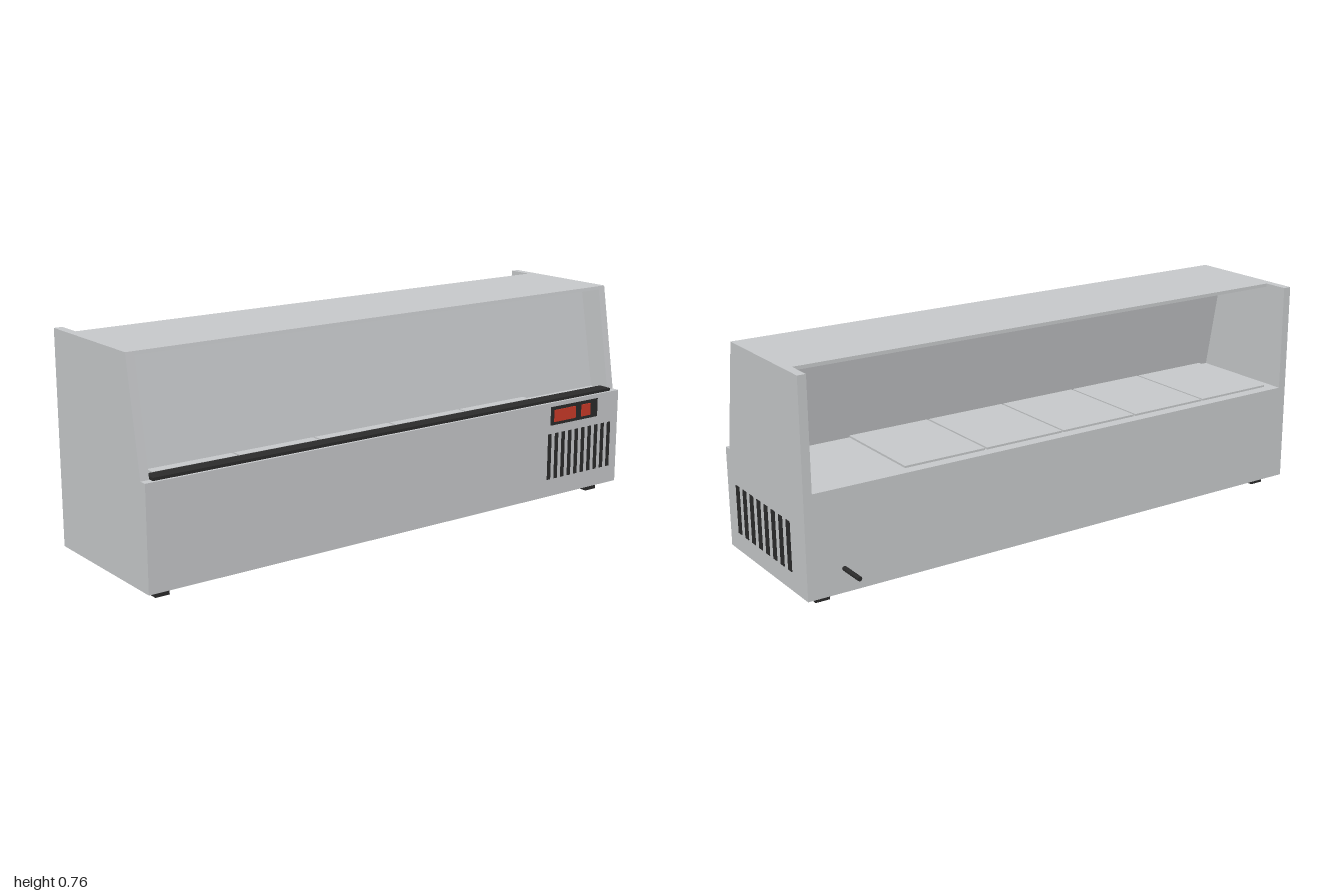
import * as THREE from 'three';

const metal = new THREE.MeshStandardMaterial({ color: 0xc6c8ca });
metal.name = 'brushed metal';
const black = new THREE.MeshStandardMaterial({ color: 0x2b2b2b });
black.name = 'black plastic';
const red = new THREE.MeshStandardMaterial({ color: 0xcc3a28 });
red.name = 'red display';

export function createModel() {
  const model = new THREE.Group();
  model.name = 'refrigeratedCounterDisplay';

  const add = (name, geometry, material) => {
    const mesh = new THREE.Mesh(geometry, material);
    mesh.name = name;
    model.add(mesh);
    return mesh;
  };

  // Box given by its limits on each axis
  const box = (name, material, [x0, x1], [y0, y1], [z0, z1]) =>
    add(name, new THREE.BoxGeometry(x1 - x0, y1 - y0, z1 - z0), material)
      .position.set((x0 + x1) / 2, (y0 + y1) / 2, (z0 + z1) / 2);

  // Cross-section in x and y, run lengthwise along z
  const prism = (name, material, points, z0, z1) => {
    const shape = new THREE.Shape(points.map(([x, y]) => new THREE.Vector2(x, y)));
    const geometry = new THREE.ExtrudeGeometry(shape, { depth: z1 - z0, bevelEnabled: false });
    add(name, geometry, material).position.z = z0;
  };

  // End panels with a sloped front edge
  const endProfile = [
    [-0.235, 0.035], [0.325, 0.035], [0.325, 0.385],
    [0.297, 0.385], [0.232, 0.765], [-0.235, 0.765],
  ];
  prism('endPanelLeft', metal, endProfile, 0.97, 1);
  prism('endPanelRight', metal, endProfile, -1, -0.97);

  // Base cabinet, roof and inclined inner screen
  box('baseCabinet', metal, [-0.235, 0.325], [0.035, 0.385], [-0.97, 0.97]);
  prism('roof', metal,
    [[-0.143, 0.753], [0.234, 0.753], [0.232, 0.765], [-0.143, 0.765]], -0.97, 0.97);
  prism('innerScreen', metal,
    [[0.175, 0.385], [0.215, 0.385], [0.146, 0.753], [0.106, 0.753]], -0.97, 0.97);

  // Black rail along the foot of the window
  box('windowRail', black, [0.262, 0.315], [0.385, 0.395], [-0.967, 0.967]);

  // Five shelf trays
  for (let i = 0; i < 5; i++) {
    const z = -0.62 + i * 0.312;
    box('tray', metal, [-0.195, 0.25], [0.385, 0.392], [z, z + 0.304]);
  }

  // Ventilation slots on the long side and on the end
  for (let i = 0; i < 10; i++) {
    const z = -0.653 - i * 0.0335;
    box('sideVentSlot', black, [0.322, 0.327], [0.1, 0.27], [z - 0.008, z + 0.008]);
  }
  for (let i = 0; i < 8; i++) {
    const x = 0.247 - i * 0.0525;
    box('endVentSlot', black, [x - 0.013, x + 0.013], [0.1, 0.27], [-1.002, -0.998]);
  }

  // Control panel with display and switch
  box('controlPanel', black, [0.322, 0.328], [0.302, 0.37], [-0.89, -0.655]);
  box('temperatureDisplay', red, [0.326, 0.332], [0.314, 0.358], [-0.775, -0.67]);
  box('powerSwitch', red, [0.326, 0.332], [0.314, 0.358], [-0.85, -0.806]);

  // Feet
  for (const x of [-0.16, 0.25]) {
    for (const z of [-0.925, 0.925]) {
      box('foot', black, [x - 0.025, x + 0.025], [0, 0.035], [z - 0.025, z + 0.025]);
    }
  }

  // Power cable stub
  const cable = add('powerCable', new THREE.CylinderGeometry(0.008, 0.008, 0.1, 8), black);
  cable.rotation.z = Math.PI / 2;
  cable.position.set(-0.285, 0.117, -0.87);

  return model;
}
